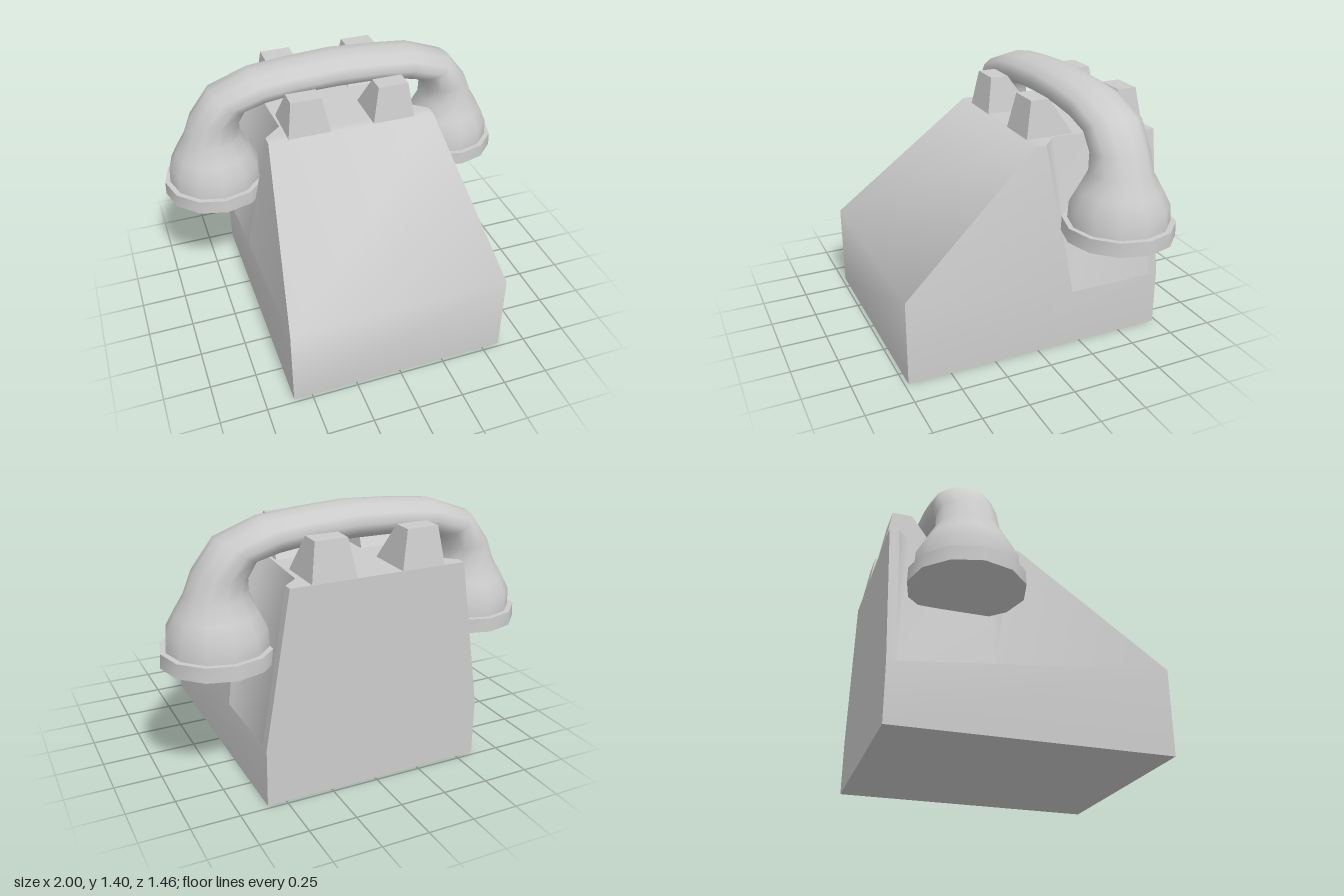
import * as THREE from 'three';
import { toCreasedNormals } from 'three/addons/utils/BufferGeometryUtils.js';

const material = new THREE.MeshStandardMaterial({ color: 0xcccccc });

// Mesh from convex polygons, each split into a triangle fan
function polyMesh(name, polygons, crease) {
  const pos = [];
  for (const p of polygons) {
    for (let i = 1; i < p.length - 1; i++) pos.push(...p[0], ...p[i], ...p[i + 1]);
  }
  const geometry = new THREE.BufferGeometry();
  geometry.setAttribute('position', new THREE.Float32BufferAttribute(pos, 3));
  const mesh = new THREE.Mesh(toCreasedNormals(geometry, crease), material);
  mesh.name = name;
  return mesh;
}

const flip = ([x, y, z]) => [-x, y, z];
const mirrored = (polys) => polys.concat(polys.map((p) => p.map(flip).reverse()));

function createBody() {
  const group = new THREE.Group();
  group.name = 'body';

  // Corners of the left half
  const frontLow = [0.6, 0, 0.73], frontHigh = [0.6, 0.465, 0.73];
  const backLow = [0.6, 0, -0.73], backHigh = [0.6, 0.31, -0.73];
  const ridge = [0.47, 1.11, -0.03], ridgeBack = [0.47, 1.11, -0.09];
  const inFront = [0.37, 1.11, -0.18], inBack = [0.39, 1.11, -0.61];
  const panelFront = [0.47, 1.11, -0.68], panelTop = [0.47, 1.11, -0.73];
  const recessFront = [0.6, 0.31, -0.2], recessBack = [0.6, 0.31, -0.68];

  // Strips that span both halves, following an outline around the middle
  const outline = [backLow, frontLow, frontHigh, ridge, ridgeBack, inFront,
    inBack, panelFront, panelTop, backHigh, backLow];
  const strips = [];
  for (let i = 0; i < outline.length - 1; i++) {
    const a = outline[i], b = outline[i + 1];
    strips.push([flip(a), a, b, flip(b)]);
  }
  const sides = mirrored([
    [frontLow, backLow, backHigh, recessBack, recessFront, frontHigh],
    [frontHigh, recessFront, ridgeBack, ridge],
    [recessBack, backHigh, panelTop, panelFront],
  ]);
  group.add(polyMesh('shell', [...strips, ...sides], 0.9));

  // Hollows in the sides behind the ear and mouth pieces
  group.add(polyMesh('sideRecesses', mirrored([
    [recessFront, inFront, ridgeBack],
    [recessFront, recessBack, inBack, inFront],
    [recessBack, panelFront, inBack],
  ]), 0.9));
  return group;
}

// Tapered cradle prong: z values for the base and the top, front to back
function createProng(name, side, base, top) {
  const ring = (y, x0, x1, [z0, z1]) =>
    [[x0, y, z0], [x1, y, z0], [x1, y, z1], [x0, y, z1]];
  const b = ring(1.1, side * 0.24 - 0.12, side * 0.24 + 0.12, base);
  const t = ring(1.305, side * 0.245 - 0.085, side * 0.245 + 0.085, top);
  const faces = [t];
  for (let i = 0; i < 4; i++) {
    const j = (i + 1) % 4;
    faces.push([b[i], b[j], t[j], t[i]]);
  }
  return polyMesh(name, faces, 0.6);
}

function createHandset() {
  const SIDES = 12, Z = -0.385;
  // Half of the sweep: outer x, y, inner x, y, half depth
  const half = [
    [0, 1.4, 0, 1.21, 0.16],
    [0.26, 1.385, 0.23, 1.207, 0.16],
    [0.47, 1.365, 0.4, 1.185, 0.16],
    [0.7, 1.28, 0.51, 1.16, 0.16],
    [0.82, 1.125, 0.55, 1.09, 0.155],
    [0.867, 1.01, 0.545, 1.01, 0.163],
    [0.92, 0.92, 0.5, 0.92, 0.212],
    [0.962, 0.84, 0.458, 0.84, 0.255],
    [0.968, 0.75, 0.452, 0.75, 0.26],
    [0.997, 0.75, 0.423, 0.75, 0.287],
    [1.0, 0.675, 0.42, 0.675, 0.29],
    [0.71, 0.675, 0.71, 0.675, 0],
  ];
  const sections = half.slice(1).reverse()
    .map(([a, b, c, d, r]) => [-a, b, -c, d, r]).concat(half);
  const rings = sections.map(([ox, oy, ix, iy, r]) => {
    const ring = [];
    for (let k = 0; k < SIDES; k++) {
      const a = (k / SIDES) * Math.PI * 2, c = Math.cos(a);
      ring.push([
        (ox + ix) / 2 + ((ox - ix) / 2) * c,
        (oy + iy) / 2 + ((oy - iy) / 2) * c,
        Z + r * Math.sin(a),
      ]);
    }
    return ring;
  });
  const faces = [];
  for (let s = 0; s < rings.length - 1; s++) {
    for (let k = 0; k < SIDES; k++) {
      const n = (k + 1) % SIDES, p = rings[s], q = rings[s + 1];
      // Closing discs meet at a point, so they need triangles only
      if (s === 0) faces.push([p[k], q[n], q[k]]);
      else if (s === rings.length - 2) faces.push([p[k], p[n], q[k]]);
      else faces.push([p[k], p[n], q[n], q[k]]);
    }
  }
  return polyMesh('handset', faces, 1.1);
}

export function createModel() {
  const model = new THREE.Group();
  model.name = 'telephone';
  model.add(createBody());
  for (const side of [-1, 1]) {
    const label = side > 0 ? 'Left' : 'Right';
    model.add(createProng('frontProng' + label, side, [-0.033, -0.31], [-0.07, -0.17]));
    model.add(createProng('backProng' + label, side, [-0.46, -0.73], [-0.59, -0.695]));
  }
  model.add(createHandset());
  return model;
}
